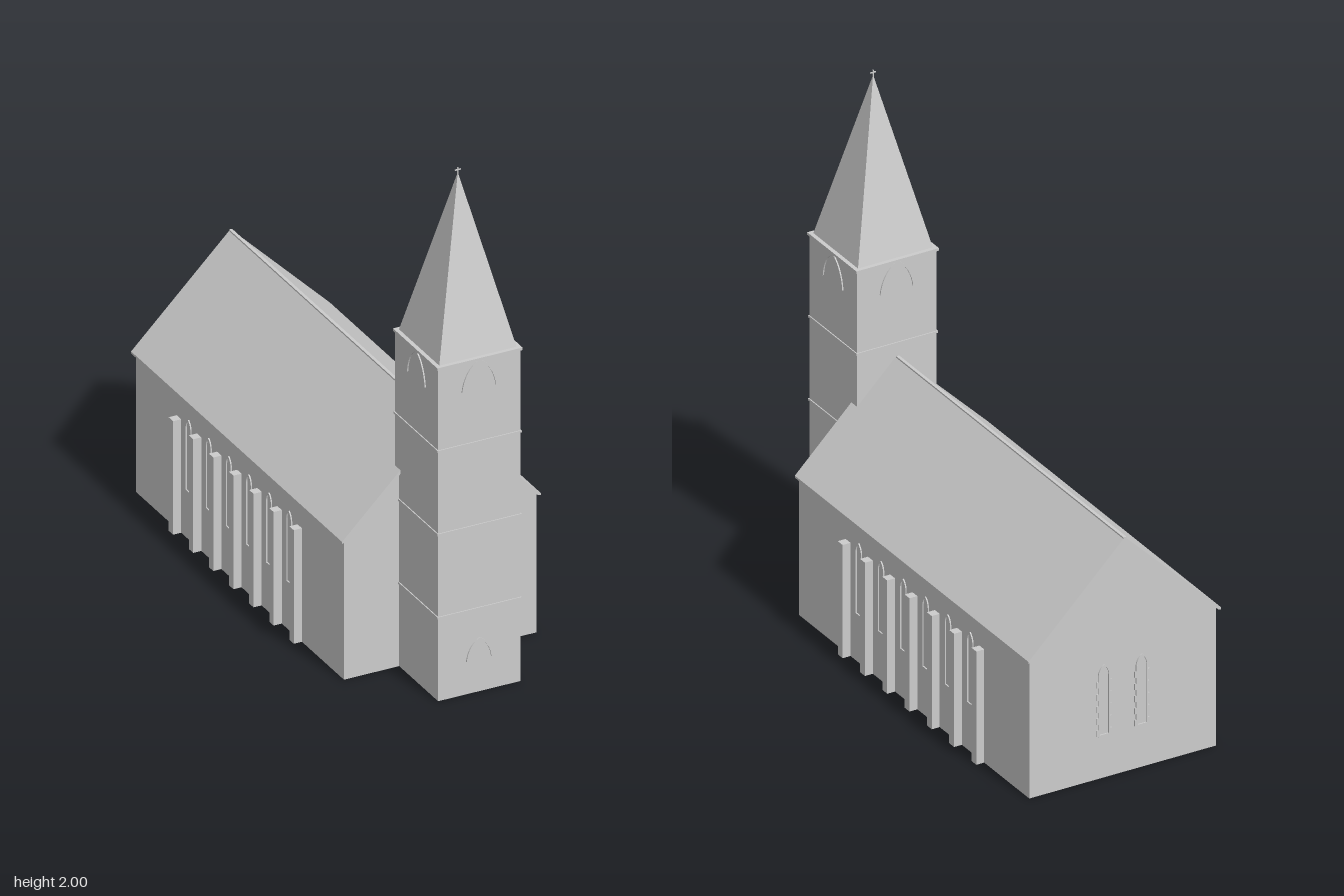
import * as THREE from 'three';

export function createModel() {
  const stone = new THREE.MeshStandardMaterial({ color: 0xcccccc });
  stone.name = 'paleStone';
  const church = new THREE.Group();
  church.name = 'church';
  const TZ = 0.772; // tower centre
  const HALF = 0.162; // tower half width

  const add = (name, geo, x = 0, y = 0, z = 0, parent = church) => {
    const m = new THREE.Mesh(geo, stone);
    m.name = name;
    m.position.set(x, y, z);
    parent.add(m);
    return m;
  };
  const box = (name, w, h, d, x, y, z, parent) =>
    add(name, new THREE.BoxGeometry(w, h, d), x, y, z, parent);
  const extrude = (pts, depth) => new THREE.ExtrudeGeometry(
    new THREE.Shape(pts.map(p => new THREE.Vector2(...p))), { depth, bevelEnabled: false });

  // Pointed arch outline from left springing over the apex to the right
  const archPoints = (w, h) => {
    const half = new THREE.QuadraticBezierCurve(
      new THREE.Vector2(-w, 0), new THREE.Vector2(-w * 0.85, h * 0.72), new THREE.Vector2(0, h)).getPoints(8);
    const left = half.map(p => [p.x, p.y]);
    return [...left, ...left.slice(0, -1).reverse().map(([x, y]) => [-x, y])];
  };
  const archBand = (w, h, t) =>
    extrude([...archPoints(w, h), ...archPoints(w - t, h - t * 1.2).reverse()], 0.006);

  // Gabled nave
  add('naveWalls', extrude([[-0.38, 0], [0.38, 0], [0.38, 0.55], [0, 0.93], [-0.38, 0.55]], 1.57), 0, 0, -0.93);
  // Roof sheets with a small overhang
  add('naveRoof', extrude([[0, 0.941], [-0.392, 0.553], [-0.392, 0.545], [-0.38, 0.548],
    [0, 0.927], [0.38, 0.548], [0.392, 0.545], [0.392, 0.553]], 1.594), 0, 0, -0.945);
  box('roofRidge', 0.012, 0.006, 1.55, 0, 0.938, -0.17);

  // Buttresses with lancet windows between them
  for (const side of [-1, 1]) {
    const row = new THREE.Group();
    row.name = side > 0 ? 'leftAisle' : 'rightAisle';
    church.add(row);
    for (let i = 0; i < 7; i++) {
      const z = 0.306 - i * 0.152;
      box('buttress', 0.035, 0.45, 0.033, side * 0.3945, 0.225, z, row);
      if (i === 6) continue;
      const arch = add('windowArch', archBand(0.02, 0.036, 0.004), side * 0.379, 0.44, z - 0.076, row);
      arch.rotation.y = side * Math.PI / 2;
      box('windowSill', 0.008, 0.006, 0.04, side * 0.381, 0.19, z - 0.076, row);
      for (const k of [-1, 1])
        box('windowJamb', 0.008, 0.25, 0.004, side * 0.381, 0.315, z - 0.076 + k * 0.018, row);
    }
  }

  // Two rear windows with toothed stone surrounds
  for (const x of [-0.077, 0.077]) {
    const win = new THREE.Group();
    win.name = 'rearWindow';
    win.position.set(x, 0, -0.929);
    win.rotation.y = Math.PI;
    church.add(win);
    add('rearArch', archBand(0.024, 0.04, 0.005), 0, 0.41, 0, win);
    for (let i = 0; i < 10; i++)
      for (const k of [-1, 1]) {
        const w = i % 2 ? 0.006 : 0.012;
        box('rearQuoin', w, 0.024, 0.012, k * (0.018 + w / 2), 0.182 + i * 0.024, 0, win);
      }
    box('rearSill', 0.05, 0.006, 0.012, 0, 0.171, 0, win);
  }

  // Tower, string courses and cornice
  box('towerShaft', HALF * 2, 1.32, HALF * 2, 0, 0.66, TZ);
  for (const y of [0.33, 0.66, 0.99])
    box('stringCourse', HALF * 2 + 0.008, 0.008, HALF * 2 + 0.008, 0, y, TZ);
  box('towerCornice', 0.336, 0.01, 0.336, 0, 1.318, TZ);

  // Belfry arch on each tower face
  for (let i = 0; i < 4; i++) {
    const face = new THREE.Group();
    face.name = 'belfryFace';
    face.position.set(0, 1.2, TZ);
    face.rotation.y = i * Math.PI / 2;
    church.add(face);
    add('belfryArch', archBand(0.07, 0.118, 0.006), 0, 0, HALF - 0.001, face);
  }
  add('doorArch', archBand(0.052, 0.085, 0.006), 0, 0.13, TZ + HALF - 0.001);

  // Four-sided spire and its cross
  const spire = new THREE.ConeGeometry(0.153 * Math.SQRT2, 0.66, 4, 1).toNonIndexed();
  spire.rotateY(Math.PI / 4);
  spire.computeVertexNormals();
  add('spire', spire, 0, 1.65, TZ);
  box('crossPost', 0.004, 0.03, 0.004, 0, 1.985, TZ);
  box('crossArm', 0.022, 0.004, 0.004, 0, 1.99, TZ);

  return church;
}
